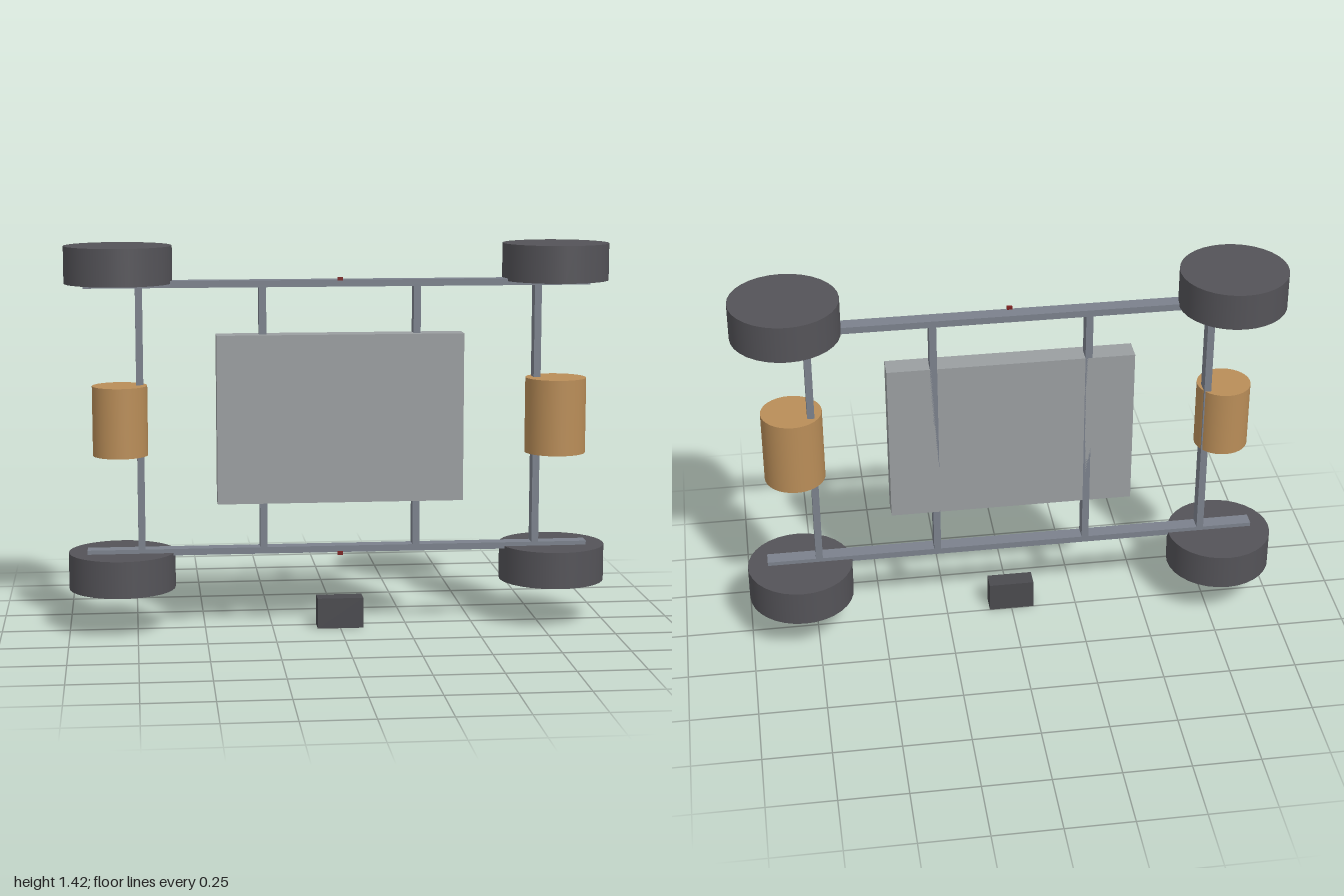
import * as THREE from 'three';

export function createModel() {
  const model = new THREE.Group();
  const mat = (color) => new THREE.MeshStandardMaterial({ color });
  const frameMat = mat(0x7b818c);
  const wheelMat = mat(0x545358);
  const plateMat = mat(0x9a9ea0);
  const motorMat = mat(0xb98d58);
  const darkMat = mat(0x4a4a4e);
  const pinMat = mat(0x7a2020);

  const add = (name, geometry, material, x, y, z) => {
    const mesh = new THREE.Mesh(geometry, material);
    mesh.name = name;
    mesh.position.set(x, y, z);
    model.add(mesh);
  };
  // box given by its extents on each axis
  const box = (name, material, [x0, x1], [y0, y1], [z0, z1]) =>
    add(name, new THREE.BoxGeometry(x1 - x0, y1 - y0, z1 - z0), material,
      (x0 + x1) / 2, (y0 + y1) / 2, (z0 + z1) / 2);
  // upright cylinder
  const drum = (name, material, r, x, y0, y1, z) =>
    add(name, new THREE.CylinderGeometry(r, r, y1 - y0, 32), material, x, (y0 + y1) / 2, z);

  const depth = [0, 0.055];

  // long rails
  box('lowerRail', frameMat, [-0.93, 0.925], [0.287, 0.311], depth);
  box('upperRail', frameMat, [-0.93, 0.925], [1.272, 1.297], depth);

  for (const side of [-1, 1]) {
    const name = side > 0 ? 'left' : 'right';
    // posts joining the rails
    for (const [part, x] of [['OuterPost', 0.731], ['InnerPost', 0.283]]) {
      box(name + part, frameMat, [side * x - 0.013, side * x + 0.013], [0.3, 1.28], depth);
    }
    // wheels at the four corners
    drum(name + 'LowerWheel', wheelMat, 0.196, side * 0.804, 0.16, 0.296, 0);
    drum(name + 'UpperWheel', wheelMat, 0.196, side * 0.804, 1.287, 1.423, 0);
  }

  // drums on the outer posts
  drum('leftDrum', motorMat, 0.112, 0.8, 0.652, 0.931, 0.058);
  drum('rightDrum', motorMat, 0.1, -0.804, 0.665, 0.92, 0.058);

  // central plate, flush with the back of the posts
  box('plate', plateMat, [-0.453, 0.453], [0.48, 1.1], [0, 0.085]);

  // loose block below the frame
  box('block', darkMat, [-0.085, 0.085], [0, 0.114], [0, 0.068]);

  // small pins on the rails
  box('lowerPin', pinMat, [-0.01, 0.01], [0.277, 0.29], [0.047, 0.06]);
  box('upperPin', pinMat, [-0.01, 0.01], [1.294, 1.307], [0.047, 0.06]);

  return model;
}
